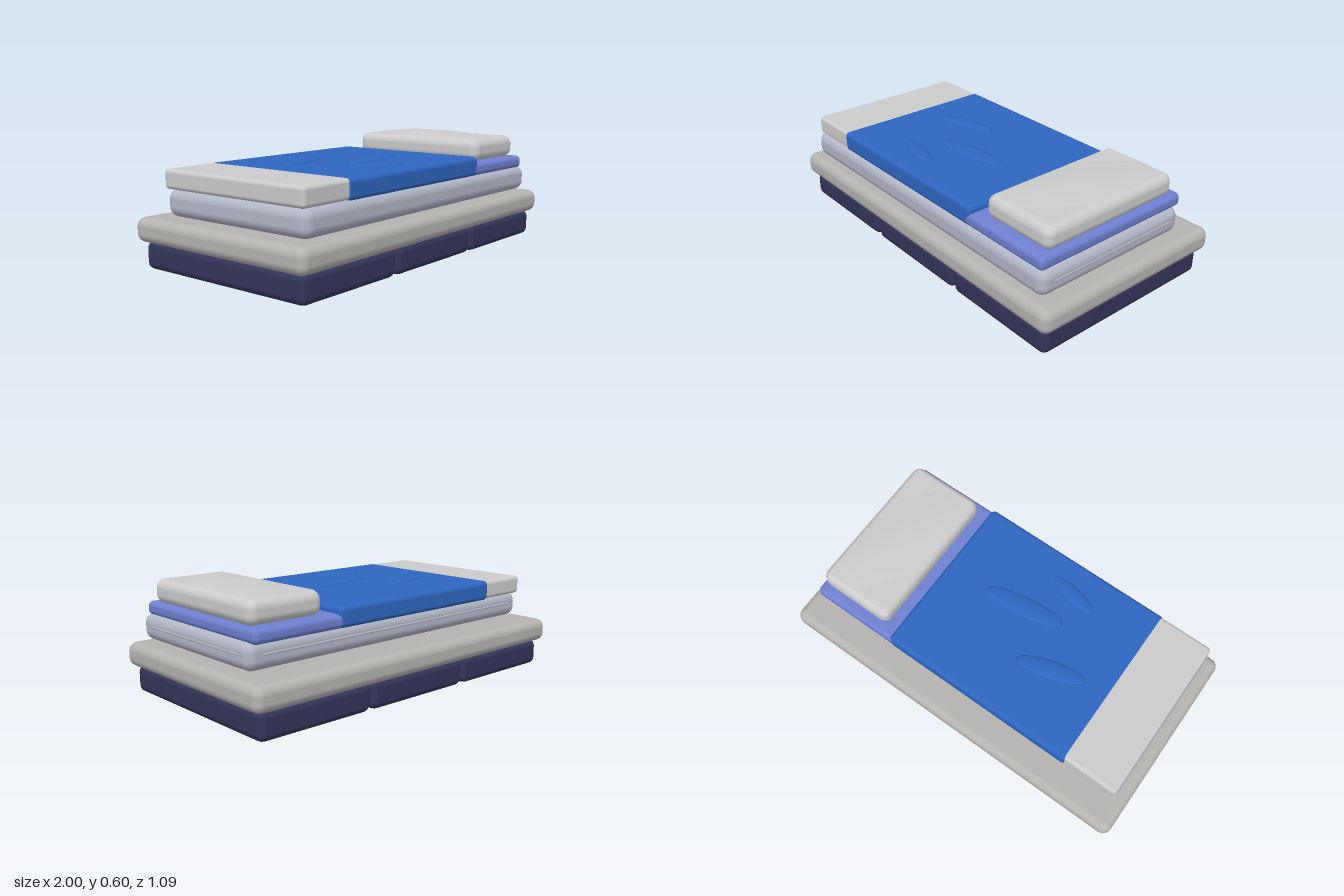
import * as THREE from 'three';
import { RoundedBoxGeometry } from 'three/addons/geometries/RoundedBoxGeometry.js';

const mat = (color) => new THREE.MeshStandardMaterial({ color });
const navy = mat(0x34345a), grey = mat(0xb4b3b0), ticking = mat(0xb3b7c6);
const white = mat(0xcccccc), blue = mat(0x2f66c0), lilac = mat(0x6f80d0), dark = mat(0x22222c);

export function createModel() {
  const model = new THREE.Group();
  model.name = 'bed';

  // Soft-edged block given by its extents on each axis
  function block(name, material, [x0, x1], [y0, y1], [z0, z1], radius, segments = 4) {
    const geometry = new RoundedBoxGeometry(x1 - x0, y1 - y0, z1 - z0, segments, radius);
    const mesh = new THREE.Mesh(geometry, material);
    mesh.name = name;
    mesh.position.set((x0 + x1) / 2, (y0 + y1) / 2, (z0 + z1) / 2);
    model.add(mesh);
    return mesh;
  }

  // Three storage bases side by side
  for (let i = -1; i <= 1; i++) {
    const x = i * 0.645;
    block('baseUnit', navy, [x - 0.318, x + 0.318], [0, 0.137], [-0.515, 0.515], 0.035, 2);
  }

  // Platform, shadow-gap slab and mattress
  block('platform', grey, [-1, 1], [0.133, 0.255], [-0.547, 0.547], 0.045);
  block('slab', dark, [-0.85, 0.85], [0.24, 0.28], [-0.31, 0.42], 0.008, 2);
  block('mattress', ticking, [-0.93, 0.926], [0.265, 0.4], [-0.388, 0.502], 0.05);

  // Piping along the mattress back and head end
  block('backPiping', ticking, [-0.85, 0.85], [0.335, 0.345], [-0.393, -0.38], 0.004, 2);
  block('headPiping', ticking, [0.915, 0.929], [0.335, 0.345], [-0.32, 0.43], 0.004, 2);

  // Bedding layers
  block('sheet', lilac, [0.38, 0.905], [0.388, 0.457], [-0.41, 0.487], 0.026);
  block('footCover', white, [-0.922, -0.6], [0.394, 0.49], [-0.405, 0.482], 0.02);
  block('blanket', blue, [-0.643, 0.428], [0.388, 0.492], [-0.412, 0.487], 0.024);

  // Shallow folds on the blanket: x, z, length, width, turn
  const folds = [
    [-0.33, -0.078, 0.37, 0.1, 0.28],
    [-0.025, 0.12, 0.44, 0.11, 0.14],
    [-0.2, 0.317, 0.28, 0.085, -0.22],
  ];
  for (const [x, z, length, width, turn] of folds) {
    const fold = new THREE.Mesh(new THREE.SphereGeometry(0.5, 24, 12), blue);
    fold.name = 'blanketFold';
    fold.scale.set(length, 0.03, width);
    fold.position.set(x, 0.491, z);
    fold.rotation.y = turn;
    model.add(fold);
  }

  // Pillow with a gently raised crown
  block('pillow', white, [0.48, 0.89], [0.453, 0.571], [-0.358, 0.44], 0.045);
  const crownGeometry = new THREE.PlaneGeometry(0.35, 0.74, 2, 3).rotateX(-Math.PI / 2);
  const p = crownGeometry.attributes.position;
  for (let i = 0; i < p.count; i++) {
    const inner = Math.abs(p.getX(i)) < 0.01 && Math.abs(p.getZ(i)) < 0.2;
    p.setY(i, inner ? 0.596 : 0.57);
  }
  crownGeometry.computeVertexNormals();
  const crown = new THREE.Mesh(crownGeometry, white);
  crown.name = 'pillowCrown';
  crown.position.set(0.685, 0, 0.041);
  model.add(crown);

  return model;
}
